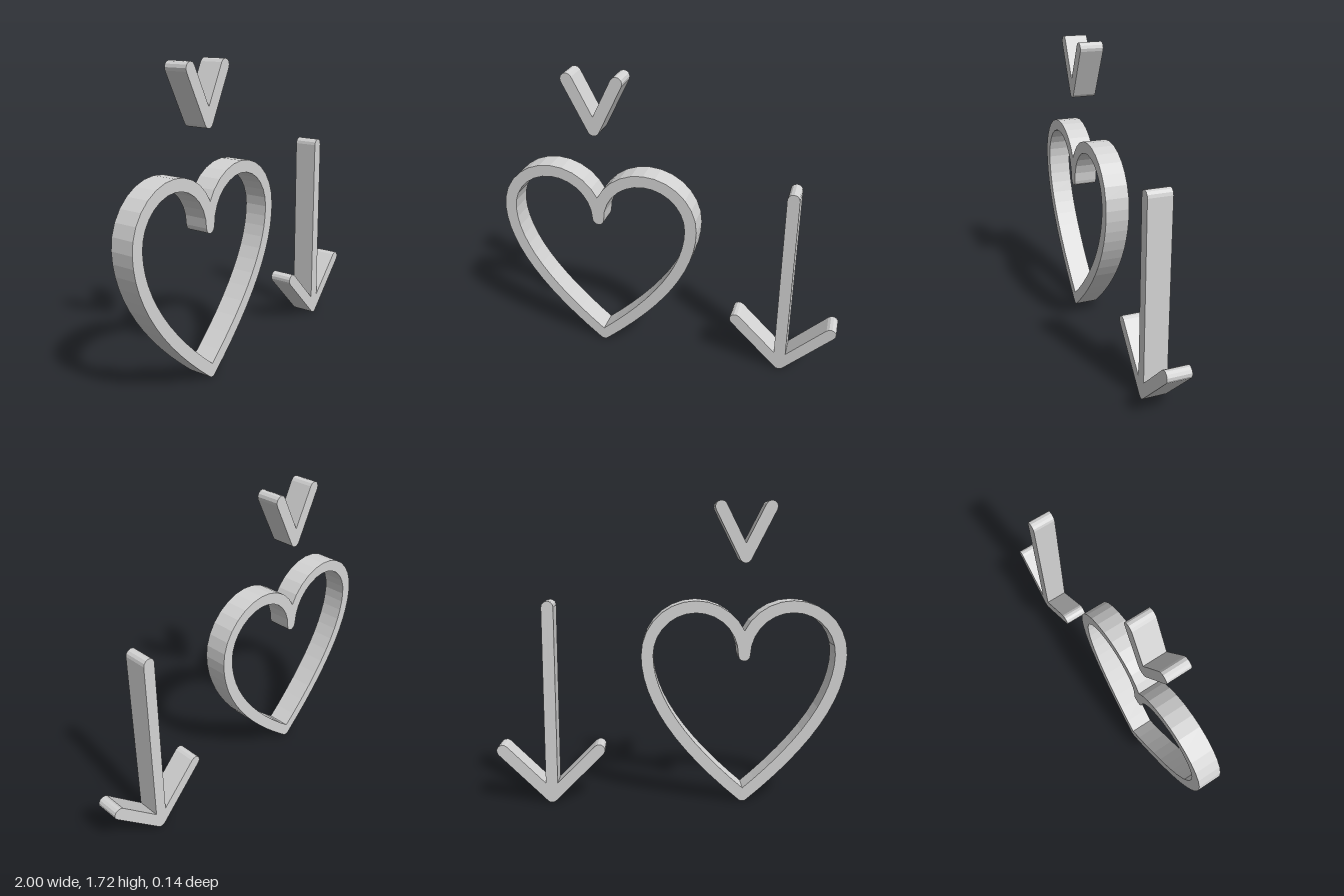
import * as THREE from 'three';

const R = 0.034;      // half width of every stroke
const DEPTH = 0.136;  // thickness along z

const V = (x, y) => new THREE.Vector2(x, y);
const polar = (c, a, r) => V(c.x + r * Math.cos(a), c.y + r * Math.sin(a));

// Points on an arc from angle a to angle b
function arc(c, a, b, r, n) {
  return Array.from({ length: n + 1 }, (_, i) => polar(c, a + (b - a) * i / n, r));
}

// Closed outline of round-ended strokes leaving one joint; ends run counterclockwise
function strokes(joint, ends) {
  const angles = ends.map(e => Math.atan2(e.y - joint.y, e.x - joint.x));
  const points = [];
  ends.forEach((end, i) => {
    const a = angles[i];
    points.push(...arc(end, a - Math.PI / 2, a + Math.PI / 2, R, 6));
    let gap = angles[(i + 1) % ends.length] - a;
    if (gap <= 0) gap += 2 * Math.PI;
    if (gap < Math.PI) points.push(polar(joint, a + gap / 2, R / Math.sin(gap / 2)));
    else points.push(...arc(joint, a + Math.PI / 2, a + gap - Math.PI / 2, R, 6));
  });
  return new THREE.Shape(points);
}

// Keep the part of a path with x > 0, ending exactly on the axis
function clip(path) {
  const out = [];
  path.forEach((p, i) => {
    const q = path[i - 1];
    if (q && (q.x > 0) !== (p.x > 0)) out.push(q.clone().lerp(p, q.x / (q.x - p.x)));
    if (p.x > 0) out.push(p);
  });
  return out;
}

const mirrored = path => path.map(p => V(-p.x, p.y)).reverse();

// Heart band: a half centre line, offset both ways and mirrored
function heartShape() {
  const r = 0.275, y = 0.864, foot = V(0, 0.035);
  const line = [];
  for (let i = 0; i <= 14; i++) {
    const a = Math.PI * (1 - i / 14);
    line.push({ p: polar(V(r, y), a, r), n: V(Math.cos(a), Math.sin(a)) });
  }
  const side = new THREE.QuadraticBezierCurve(V(2 * r, y), V(2 * r, 0.5), foot);
  for (let i = 1; i <= 12; i++) {
    const t = side.getTangent(i / 12);
    line.push({ p: side.getPoint(i / 12), n: V(-t.y, t.x) });
  }
  const offset = d => clip(line.map(({ p, n }) => p.clone().addScaledVector(n, d)));

  // Outer edge with a rounded foot, clockwise
  const outer = offset(R);
  const last = line[line.length - 1].n;
  const a = Math.atan2(last.y, last.x);
  const tip = arc(foot, a, -Math.PI - a, R, 6).slice(1, -1);
  const shape = new THREE.Shape([...outer, ...tip, ...mirrored(outer).slice(0, -1)]);

  // Inner edge with the rounded end of the notch, counterclockwise
  const inner = offset(-R);
  const notch = arc(V(0, y), Math.PI, 2 * Math.PI, R, 6).slice(1, -1);
  const hole = [...inner, ...mirrored(inner).slice(1), ...notch].reverse();
  shape.holes.push(new THREE.Path(hole));
  return shape;
}

export function createModel() {
  const group = new THREE.Group();
  const grey = new THREE.MeshStandardMaterial({ color: 0xd4d4d4 });
  grey.name = 'light grey';

  function add(name, shape, x) {
    const geometry = new THREE.ExtrudeGeometry(shape, { depth: DEPTH, bevelEnabled: false });
    geometry.translate(x, 0, -DEPTH / 2);
    const mesh = new THREE.Mesh(geometry, grey);
    mesh.name = name;
    group.add(mesh);
  }

  add('heart', heartShape(), -0.415);
  add('chevron', strokes(V(0, 1.416), [V(0.139, 1.69), V(-0.139, 1.69)]), -0.415);
  add('arrow', strokes(V(0, 0.035), [V(0.277, 0.312), V(0, 1.139), V(-0.277, 0.312)]), 0.69);
  return group;
}
